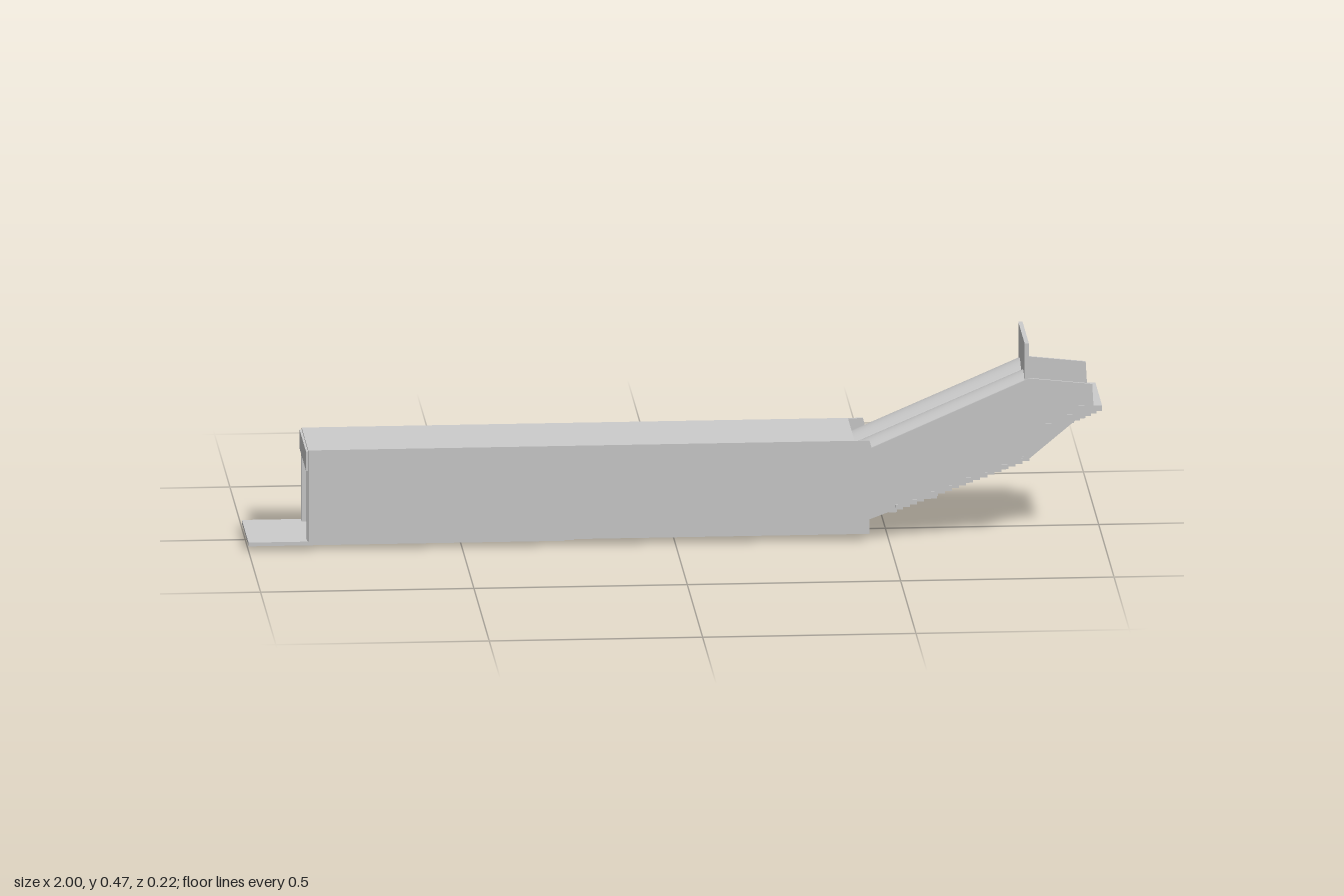
import * as THREE from 'three';

const material = new THREE.MeshStandardMaterial({ color: 0xcccccc, side: THREE.DoubleSide });

export function createModel() {
  const model = new THREE.Group();

  const add = (name, geometry) => {
    const mesh = new THREE.Mesh(geometry, material);
    mesh.name = name;
    model.add(mesh);
    return mesh;
  };

  // box given by its limits on each axis
  const box = (name, x0, x1, y0, y1, z0, z1) => {
    const g = new THREE.BoxGeometry(x1 - x0, y1 - y0, z1 - z0);
    g.translate((x0 + x1) / 2, (y0 + y1) / 2, (z0 + z1) / 2);
    return add(name, g);
  };

  // side profile (x, y) stretched from z0 to z1
  const profile = (name, points, z0, z1) => {
    const shape = new THREE.Shape(points.map(([x, y]) => new THREE.Vector2(x, y)));
    const g = new THREE.ExtrudeGeometry(shape, { depth: z1 - z0, bevelEnabled: false });
    g.translate(0, 0, z0);
    return add(name, g);
  };

  // stepped line rising from one point to another
  const steps = (x0, y0, x1, y1, n) => {
    const pts = [];
    for (let i = 0; i < n; i++) {
      const y = y0 + ((y1 - y0) * i) / n;
      pts.push([x0 + ((x1 - x0) * i) / n, y], [x0 + ((x1 - x0) * (i + 1)) / n, y]);
    }
    pts.push([x1, y1]);
    return pts;
  };

  // stair slab, stepped above and below
  const stair = (name, x0, y0, x1, y1, n, thick, z0, z1) => {
    const low = steps(x0, y0, x1, y1, n);
    const high = low.map(([x, y]) => [x, y + thick]).reverse();
    return profile(name, [...low, ...high], z0, z1);
  };

  // side walls
  const wall = [
    [-0.86, 0.015], [0.455, 0.015], [0.455, 0.05], [0.83, 0.19], [0.98, 0.315],
    [0.977, 0.367], [0.83, 0.383], [0.46, 0.222], [0.455, 0.24], [-0.86, 0.24],
  ];
  profile('leftWall', wall, 0.104, 0.109);
  profile('rightWall', wall, -0.109, -0.104);

  // hall roof and floors
  box('roof', -0.86, 0.42, 0.232, 0.24, -0.106, 0.106);
  box('lowerFloor', -1, -0.26, 0.011, 0.02, -0.108, 0.108);
  box('upperFloor', -0.05, 0.52, 0.066, 0.074, -0.105, 0.105);
  stair('hallStair', -0.26, 0.012, -0.05, 0.067, 9, 0.009, -0.106, 0.106);

  // small blocks under the floor
  for (const x of [-0.835, -0.715, -0.365]) {
    box('floorBlock', x - 0.015, x + 0.015, 0, 0.012, -0.014, 0.014);
  }
  box('stairBlock', -0.22, -0.18, 0.029, 0.042, -0.014, 0.014);

  // open doorway at the low end
  box('doorLintel', -0.865, -0.85, 0.19, 0.236, -0.105, 0.105);
  for (const s of [-1, 1]) {
    box('doorPost', -0.862, -0.845, 0.018, 0.195, s * 0.093 - 0.012, s * 0.093 + 0.012);
    box('doorPillar', -0.85, -0.82, 0.018, 0.235, s * 0.03 - 0.01, s * 0.03 + 0.01);
  }

  // pillars along the hall
  for (let i = 0; i < 5; i++) {
    const x = -0.7 + i * 0.11;
    for (const z of [-0.03, 0.03]) {
      box('hallPillar', x - 0.008, x + 0.008, 0.018, 0.235, z - 0.008, z + 0.008);
    }
  }

  // twin stairs of the ramp with a recessed strip between them
  for (const s of [-1, 1]) {
    const z0 = s > 0 ? 0.014 : -0.11;
    stair('rampStair', 0.5, 0.066, 0.83, 0.19, 20, 0.012, z0, z0 + 0.096);
  }
  profile('middleStrip', [[0.5, 0.095], [0.83, 0.219], [0.83, 0.227], [0.5, 0.103]], -0.014, 0.014);
  box('rampBlock', 0.53, 0.62, 0.073, 0.1, -0.014, 0.014);
  profile('topCrossbar', [[0.8, 0.178], [0.83, 0.19], [0.83, 0.22], [0.8, 0.208]], -0.014, 0.014);

  // curved canopies: an arc band sheared along the ramp
  const radius = 0.0535, half = Math.asin(0.047 / radius), thick = 0.007;
  const arcY = -radius;
  const band = new THREE.Shape();
  band.absarc(0, arcY, radius, Math.PI / 2 - half, Math.PI / 2 + half, false);
  band.absarc(0, arcY, radius - thick, Math.PI / 2 + half, Math.PI / 2 - half, true);
  band.closePath();
  for (const z of [-0.0565, 0.0565]) {
    const g = new THREE.ExtrudeGeometry(band, { depth: 0.41, bevelEnabled: false, curveSegments: 24 });
    g.rotateY(Math.PI / 2);
    g.applyMatrix4(new THREE.Matrix4().set(
      1, 0, 0, 0.42,
      0.43, 1, 0, 0.219,
      0, 0, 1, z,
      0, 0, 0, 1,
    ));
    add('canopy', g);
  }

  // upright panel at the top of the ramp with two arched passages
  const panel = new THREE.Shape();
  panel.moveTo(-0.104, 0.19).lineTo(0.104, 0.19).lineTo(0.104, 0.466).lineTo(-0.104, 0.466);
  panel.closePath();
  for (const z of [-0.053, 0.053]) {
    const hole = new THREE.Path();
    hole.moveTo(z - 0.035, 0.232);
    hole.lineTo(z - 0.035, 0.373);
    hole.quadraticCurveTo(z, 0.398, z + 0.035, 0.373);
    hole.lineTo(z + 0.035, 0.232);
    hole.closePath();
    panel.holes.push(hole);
  }
  const panelGeometry = new THREE.ExtrudeGeometry(panel, { depth: 0.01, bevelEnabled: false });
  panelGeometry.rotateY(Math.PI / 2);
  panelGeometry.translate(0.819, 0, 0);
  add('archedPanel', panelGeometry);

  // exit stair: fine ribs below, broad treads above
  const ribs = steps(0.83, 0.235, 1, 0.307, 13);
  const treads = [
    [1, 0.315], [0.94, 0.315], [0.94, 0.295], [0.89, 0.295],
    [0.89, 0.273], [0.855, 0.273], [0.855, 0.25], [0.83, 0.25],
  ];
  profile('exitStair', [...ribs, ...treads], -0.11, 0.11);

  return model;
}
